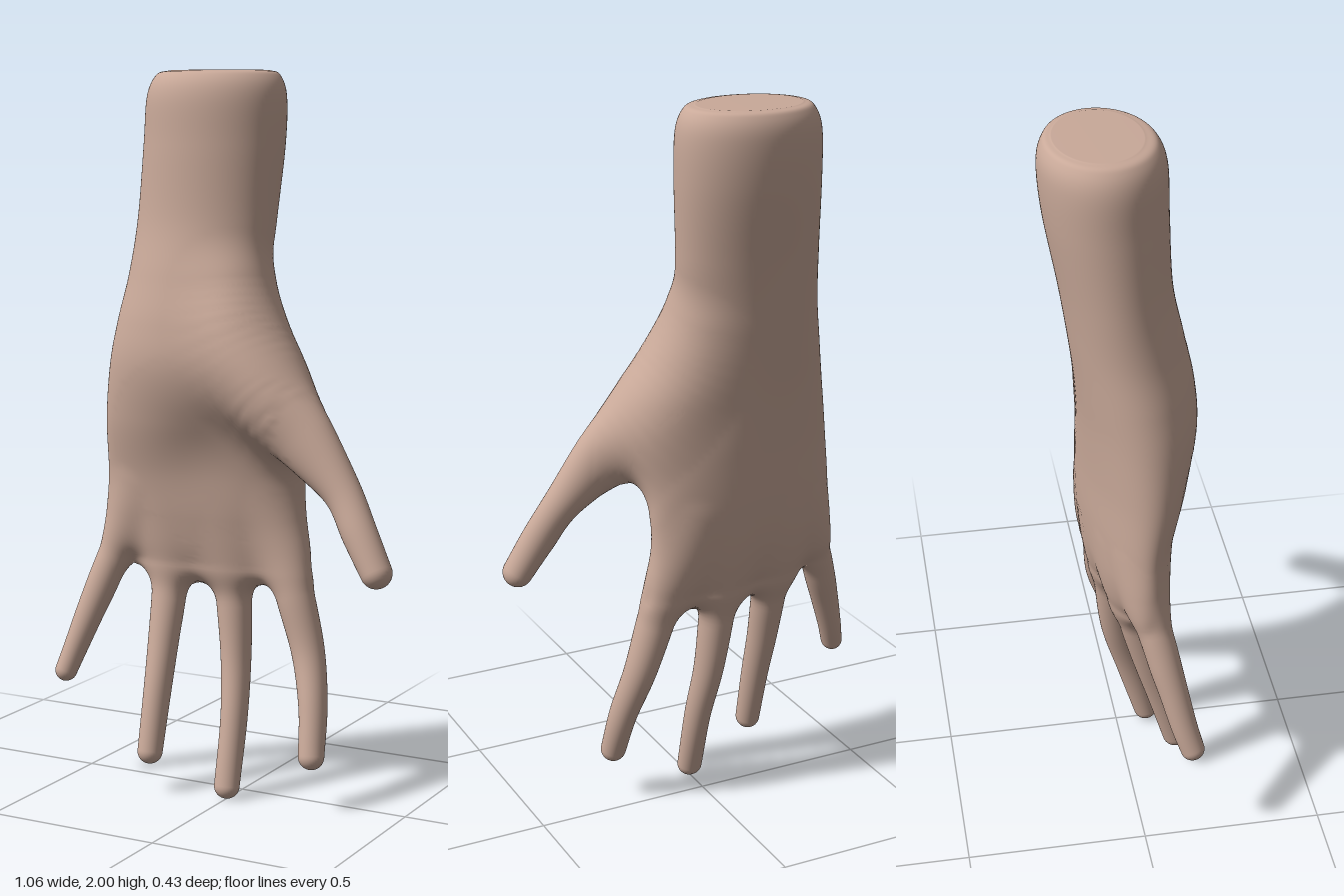
import * as THREE from 'three';

const skin = new THREE.MeshStandardMaterial({ color: 0xc9a999 });
skin.name = 'skin';

const V = (x, y, z) => new THREE.Vector3(x, y, z);
const curve = (points) => new THREE.CatmullRomCurve3(points, false, 'catmullrom', 0.5);

// Forearm and palm: level sections of [y, xMin, xMax, zBack, zFront, tilt]
const palmSections = [
  [2.0, -0.25, 0.04, -0.175, 0.05, 0],
  [1.988, -0.282, 0.07, -0.2, 0.085, 0],
  [1.93, -0.307, 0.091, -0.215, 0.108, 0],
  [1.8, -0.315, 0.092, -0.205, 0.113, 0],
  [1.6, -0.325, 0.08, -0.17, 0.122, 0],
  [1.45, -0.338, 0.075, -0.148, 0.152, 0],
  [1.32, -0.362, 0.11, -0.132, 0.18, 0.02],
  [1.2, -0.382, 0.155, -0.122, 0.187, 0.05],
  [1.05, -0.4, 0.183, -0.116, 0.155, 0.1],
  [0.9, -0.408, 0.176, -0.112, 0.108, 0.12],
  [0.78, -0.412, 0.17, -0.102, 0.082, 0.13],
  [0.7, -0.395, 0.168, -0.085, 0.064, 0.13],
  [0.645, -0.33, 0.155, -0.066, 0.046, 0.12],
];

// Digits, starting inside the palm: stations of [x, y, z, half width, half depth]
const digits = {
  thumb: [
    [0.0, 1.4, 0.03, 0.05, 0.07], [0.04, 1.28, 0.06, 0.085, 0.11], [0.13, 1.15, 0.085, 0.1, 0.112],
    [0.25, 1.028, 0.11, 0.086, 0.07], [0.365, 0.905, 0.13, 0.053, 0.05],
    [0.43, 0.8, 0.155, 0.048, 0.046], [0.485, 0.708, 0.172, 0.042, 0.044],
  ],
  indexFinger: [
    [0.05, 0.88, -0.033, 0.045, 0.045], [0.115, 0.7, -0.03, 0.058, 0.052], [0.155, 0.57, -0.02, 0.054, 0.052],
    [0.2, 0.42, -0.01, 0.046, 0.047], [0.235, 0.28, 0.03, 0.039, 0.043], [0.25, 0.152, 0.07, 0.036, 0.036],
  ],
  middleFinger: [
    [-0.07, 0.86, -0.02, 0.045, 0.045], [-0.05, 0.68, -0.024, 0.055, 0.052], [-0.035, 0.54, -0.017, 0.05, 0.05],
    [-0.02, 0.38, 0.0, 0.042, 0.046], [-0.005, 0.22, 0.04, 0.037, 0.041], [-0.002, 0.035, 0.088, 0.036, 0.034],
  ],
  ringFinger: [
    [-0.22, 0.86, -0.003, 0.045, 0.045], [-0.225, 0.68, 0.0, 0.054, 0.05], [-0.222, 0.56, 0.02, 0.05, 0.048],
    [-0.222, 0.42, 0.055, 0.043, 0.045], [-0.22, 0.28, 0.095, 0.038, 0.042], [-0.22, 0.118, 0.137, 0.035, 0.036],
  ],
  littleFinger: [
    [-0.31, 0.86, 0.025, 0.04, 0.04], [-0.37, 0.7, 0.035, 0.045, 0.046], [-0.412, 0.58, 0.06, 0.045, 0.045],
    [-0.447, 0.48, 0.085, 0.04, 0.04], [-0.48, 0.38, 0.11, 0.034, 0.036], [-0.5, 0.315, 0.13, 0.031, 0.033],
  ],
};

// Oval cross-sections along a smooth path, each with its own axes and half sizes
function crossSections(stations, perStation, level) {
  const path = curve(stations.map((s) => V(s[0], s[1], s[2])));
  const size = curve(stations.map((s) => V(s[3], s[4], s[5] ?? 0)));
  const steps = (stations.length - 1) * perStation;
  return Array.from({ length: steps + 1 }, (_, i) => {
    const s = size.getPoint(i / steps);
    const dir = level ? V(0, -1, 0) : path.getTangent(i / steps);
    const side = V(0, 0, 1).cross(dir).normalize();
    if (level) side.z = -s.z;
    side.normalize();
    return { c: path.getPoint(i / steps), dir, side, depth: dir.clone().cross(side), w: s.x, d: s.y, level };
  });
}

// Approximate signed distance from a point to a chain of cross-sections
function chainDistance(chain, p) {
  let best = Infinity;
  const last = chain.length - 2;
  for (let i = 0; i <= last; i++) {
    const A = chain[i], B = chain[i + 1], a = A.c, b = B.c, n = A.dir;
    const bx = b.x - a.x, by = b.y - a.y, bz = b.z - a.z;
    let x = p.x - a.x, y = p.y - a.y, z = p.z - a.z;
    let t = (x * n.x + y * n.y + z * n.z) / (bx * n.x + by * n.y + bz * n.z);
    // Level sections stack without gaps, so only the one at this height counts
    if (A.level && ((t < 0 && i > 0) || (t > 1 && i < last))) continue;
    t = Math.min(1, Math.max(0, t));
    x -= bx * t; y -= by * t; z -= bz * t;
    const w = A.w + (B.w - A.w) * t, d = A.d + (B.d - A.d) * t, e = Math.min(w, d);
    const u = (x * A.side.x + y * A.side.y + z * A.side.z) / w;
    const v = (x * A.depth.x + y * A.depth.y + z * A.depth.z) / d;
    const s = (x * n.x + y * n.y + z * n.z) / e;
    const k0 = Math.hypot(u, v, s), k1 = Math.hypot(u / w, v / d, s / e);
    best = Math.min(best, k1 < 1e-6 ? -e : (k0 * (k0 - 1)) / k1);
  }
  return best;
}

// Closed surface through the cross-sections, ending in a rounded tip
function loft(sections, sides) {
  const rings = [...sections];
  const tip = sections[sections.length - 1], e = Math.min(tip.w, tip.d);
  for (let k = 1; k <= 9; k++) {
    const a = ((k / 9.3) * Math.PI) / 2, shrink = Math.cos(a);
    rings.push({ ...tip, c: tip.c.clone().addScaledVector(tip.dir, e * Math.sin(a)), w: tip.w * shrink, d: tip.d * shrink });
  }
  const points = [], idx = [], last = rings.length - 1, start = rings.length * sides;
  for (const r of rings) {
    for (let j = 0; j < sides; j++) {
      const a = (j / sides) * Math.PI * 2;
      points.push(r.c.clone().addScaledVector(r.side, Math.cos(a) * r.w).addScaledVector(r.depth, Math.sin(a) * r.d));
    }
  }
  points.push(rings[0].c.clone(), rings[last].c.clone());
  for (let j = 0; j < sides; j++) {
    const k = (j + 1) % sides;
    idx.push(start, k, j, start + 1, last * sides + j, last * sides + k);
    for (let i = 0; i < last; i++) {
      const a = i * sides + j, b = i * sides + k;
      idx.push(a, b, a + sides, b, b + sides, a + sides);
    }
  }
  const geo = new THREE.BufferGeometry().setFromPoints(points);
  geo.setIndex(idx);
  return geo;
}

// Hollow in the middle of the palm
const hollow = (p) =>
  0.024 * Math.exp(-(((p.x + 0.05) / 0.15) ** 2) - ((p.y - 0.99) / 0.15) ** 2 - ((p.z - 0.1) / 0.09) ** 2);

// Distance to all parts, with soft transitions where digits leave the palm
function handDistance(parts, p) {
  let f = Infinity;
  for (const part of parts) {
    const g = chainDistance(part.chain, p);
    const h = Math.max(0, part.blend - Math.abs(f - g));
    f = Math.min(f, g) - (h * h) / (4 * part.blend);
  }
  return f + hollow(p);
}

// Move the vertices of a part onto the blended skin wherever parts meet
function settle(geo, own, parts) {
  const pos = geo.attributes.position, normals = new Map(), p = V(0, 0, 0), g = V(0, 0, 0), q = V(0, 0, 0);
  const slope = (h) => {
    const along = (x, y, z) =>
      handDistance(parts, q.set(p.x + x, p.y + y, p.z + z)) - handDistance(parts, q.set(p.x - x, p.y - y, p.z - z));
    g.set(along(h, 0, 0), along(0, h, 0), along(0, 0, h)).divideScalar(2 * h);
  };
  for (let i = 0; i < pos.count; i++) {
    p.fromBufferAttribute(pos, i);
    let f = handDistance(parts, p);
    if (f < -0.055 || Math.abs(f - chainDistance(own.chain, p)) < 5e-4) continue;
    for (let n = 0; n < 3; n++) {
      slope(0.003);
      p.addScaledVector(g, -THREE.MathUtils.clamp(f, -0.04, 0.04) / Math.max(g.lengthSq(), 0.25));
      f = handDistance(parts, p);
    }
    slope(0.01);
    pos.setXYZ(i, p.x, p.y, p.z);
    normals.set(i, g.clone().normalize());
  }
  geo.computeVertexNormals();
  normals.forEach((n, i) => geo.attributes.normal.setXYZ(i, n.x, n.y, n.z));
}

export function createModel() {
  const palm = palmSections.map(([y, l, r, b, f, tilt]) => [(l + r) / 2, y, (b + f) / 2, (r - l) / 2, (f - b) / 2, tilt]);
  const parts = [{ name: 'forearmAndPalm', stations: palm, level: true, blend: 0.06, sides: 96 }];
  for (const [name, stations] of Object.entries(digits)) {
    parts.push({ name, stations, level: false, blend: name === 'thumb' ? 0.13 : 0.06, sides: 36 });
  }
  for (const part of parts) part.chain = crossSections(part.stations, part.level ? 10 : 5, part.level);

  const hand = new THREE.Group();
  hand.name = 'hand';
  for (const part of parts) {
    const geo = loft(crossSections(part.stations, 10, part.level), part.sides);
    settle(geo, part, parts);
    const mesh = new THREE.Mesh(geo, skin);
    mesh.name = part.name;
    hand.add(mesh);
  }
  return hand;
}
